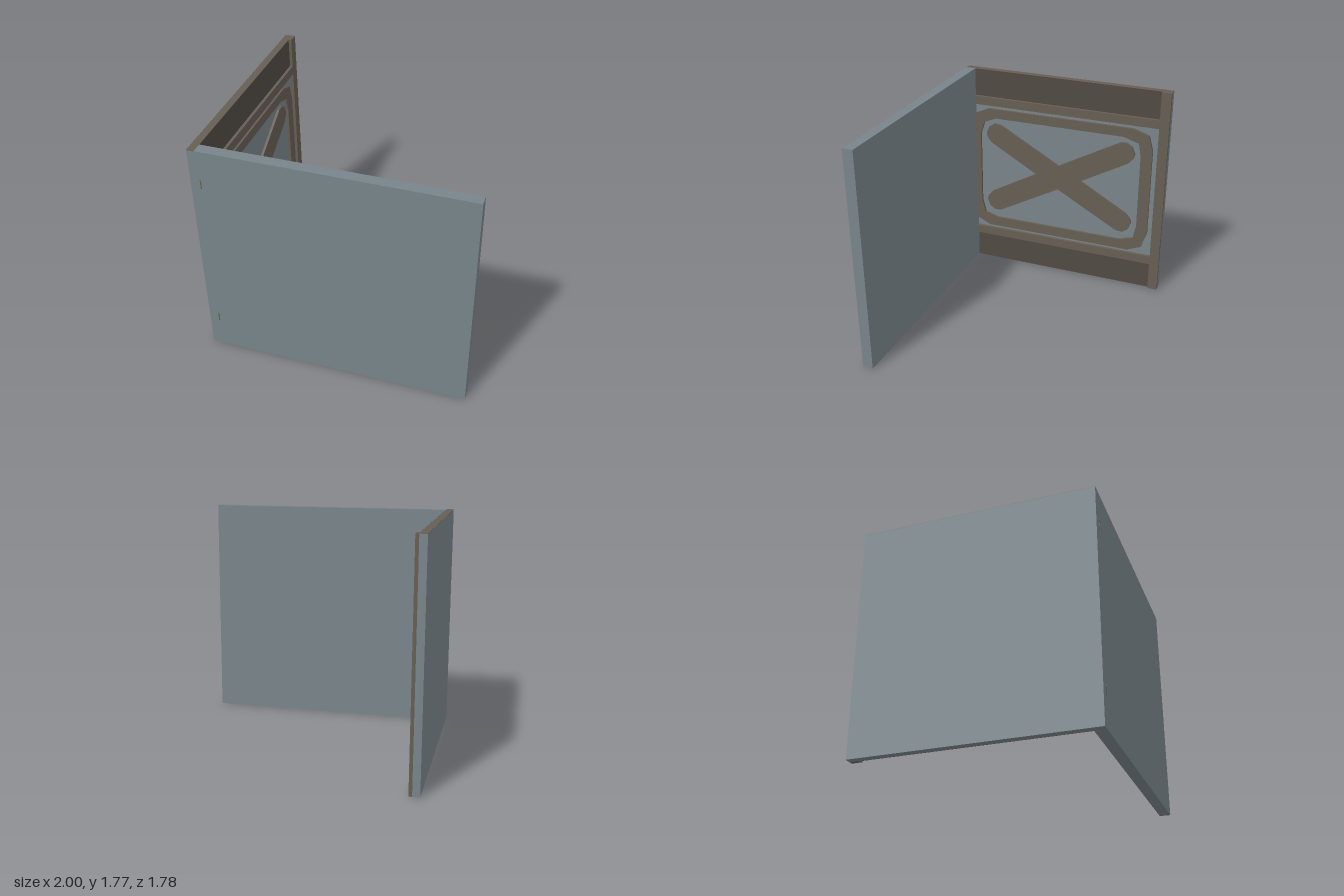
import * as THREE from 'three';

const H = 1.775, Z = 0.887;       // wall height, half depth
const FACE = -0.945, TOP = -0.92; // wall surface and trim surface in x

const steel = new THREE.MeshStandardMaterial({ color: 0x78848a });
const brown = new THREE.MeshStandardMaterial({ color: 0x665e53 });
const dark = new THREE.MeshStandardMaterial({ color: 0x504a42 });

export function createModel() {
  const model = new THREE.Group();

  const add = (name, geometry, material) => {
    const mesh = new THREE.Mesh(geometry, material);
    mesh.name = name;
    model.add(mesh);
    return mesh;
  };
  // box given by its limits on each axis
  const box = (name, material, [x0, x1], [y0, y1], [z0, z1]) =>
    add(name, new THREE.BoxGeometry(x1 - x0, y1 - y0, z1 - z0), material)
      .position.set((x0 + x1) / 2, (y0 + y1) / 2, (z0 + z1) / 2);
  // flat trim on the side wall, drawn with points (z, y)
  const toPoints = (list) => list.map(([z, y]) => new THREE.Vector2(-z, y));
  const trim = (name, outline, hole) => {
    const shape = new THREE.Shape(toPoints(outline));
    if (hole) shape.holes.push(new THREE.Path(toPoints(hole)));
    const g = new THREE.ExtrudeGeometry(shape, { depth: 0.02, bevelEnabled: false });
    g.rotateY(Math.PI / 2).translate(FACE, 0, 0);
    add(name, g, brown);
  };

  // two walls meeting at a corner
  box('frontWall', steel, [FACE, 1], [0, H], [0.803, Z]);
  box('sideWall', steel, [-1, FACE], [0, H - 0.002], [-Z, Z]);
  box('sideWallCap', brown, [-1, FACE], [H - 0.002, H], [-Z, Z]);

  // back post, dark bands and rails on the inner side
  box('backPost', brown, [FACE, TOP], [0, H], [-Z, -0.807]);
  for (const [y0, y1] of [[0, 0.237], [1.543, H]])
    box('darkBand', dark, [FACE, FACE + 0.002], [y0, y1], [-0.807, 0.803]);
  for (const [y0, y1] of [[0.237, 0.31], [1.47, 1.543]]) {
    box('rail', brown, [FACE, TOP], [y0, y1], [-0.807, 0.85]);
    box('railTip', brown, [-0.929, TOP], [y0, y1], [0.85, Z + 0.001]);
  }

  // cut-corner frame; its front edge runs into the front wall
  trim('cutCornerFrame', [
    [0.68, 1.44], [0.80, 1.385], [0.845, 1.27], [0.845, 0.52], [0.80, 0.39], [0.68, 0.335],
    [-0.60, 0.335], [-0.72, 0.385], [-0.765, 0.52], [-0.765, 1.27], [-0.73, 1.395], [-0.60, 1.44],
  ], [
    [0.61, 1.36], [0.72, 1.315], [0.755, 1.205], [0.755, 0.575], [0.725, 0.455], [0.61, 0.42],
    [-0.52, 0.42], [-0.645, 0.455], [-0.67, 0.575], [-0.67, 1.205], [-0.65, 1.32], [-0.52, 1.36],
  ]);

  // crossed braces with rounded ends, one outline mirrored about the centre
  const cz = 0.04, cy = 0.903;
  const arm = [[0.53, 0.4], [0.585, 0.407], [0.635, 0.375], [0.66, 0.315], [0.65, 0.275], [0.61, 0.23]];
  const back = [...arm].reverse();
  trim('crossBrace', [
    [0, 0.107], ...arm, [0.2, 0],
    ...back.map(([z, y]) => [z, -y]), [0, -0.11],
    ...arm.map(([z, y]) => [-z, -y]), [-0.2, 0],
    ...back.map(([z, y]) => [-z, y]),
  ].map(([z, y]) => [z + cz, y + cy]));

  return model;
}
